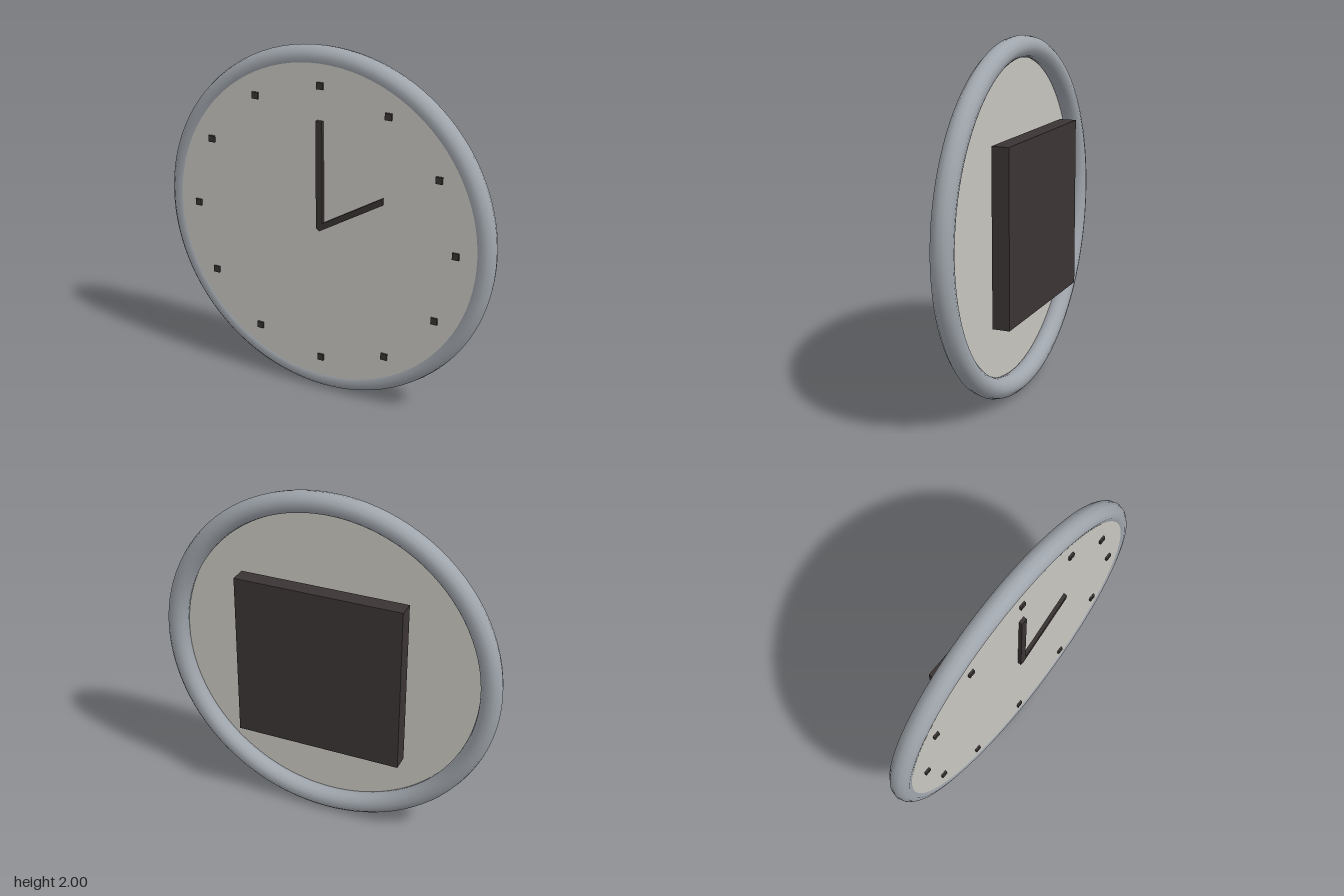
import * as THREE from 'three';

export function createModel() {
  const clock = new THREE.Group();
  clock.name = 'wallClock';

  const paint = (name, color) => {
    const m = new THREE.MeshStandardMaterial({ color });
    m.name = name;
    return m;
  };
  const frameGrey = paint('frameGrey', 0xa0a6ad);
  const dialGrey = paint('dialGrey', 0xc8c6c0);
  const darkBrown = paint('darkBrown', 0x3b3434);

  const add = (name, geometry, material, x, y, z) => {
    const mesh = new THREE.Mesh(geometry, material);
    mesh.name = name;
    mesh.position.set(x, y, z);
    clock.add(mesh);
    return mesh;
  };

  // Round frame
  add('frame', new THREE.TorusGeometry(0.94, 0.06, 12, 96), frameGrey, 0, 1, 0.04);

  // Thin dial near the front of the frame
  const dial = new THREE.CylinderGeometry(0.93, 0.93, 0.016, 64).rotateX(Math.PI / 2);
  add('dial', dial, dialGrey, 0, 1, 0.085);

  // Twelve upright square hour marks
  const mark = new THREE.BoxGeometry(0.037, 0.037, 0.014);
  for (let i = 0; i < 12; i++) {
    const a = (i * Math.PI) / 6;
    add('hourMark', mark, darkBrown, 0.797 * Math.sin(a), 1 + 0.797 * Math.cos(a), 0.098);
  }

  // Minute hand, pointing up
  add('minuteHand', new THREE.BoxGeometry(0.038, 0.61, 0.024), darkBrown, 0, 1.303, 0.102);

  // Hour hand, with an upright cut at the tip
  const outline = new THREE.Shape([
    [-0.019, 1.0], [0, 0.984], [0.377, 1.205], [0.377, 1.243], [0, 1.022],
  ].map(([x, y]) => new THREE.Vector2(x, y)));
  const hourHand = new THREE.ExtrudeGeometry(outline, { depth: 0.023, bevelEnabled: false });
  add('hourHand', hourHand, darkBrown, 0, 0, 0.09);

  // Square housing behind the frame
  add('backBox', new THREE.BoxGeometry(0.97, 0.97, 0.097), darkBrown, 0, 1, -0.0665);

  return clock;
}
